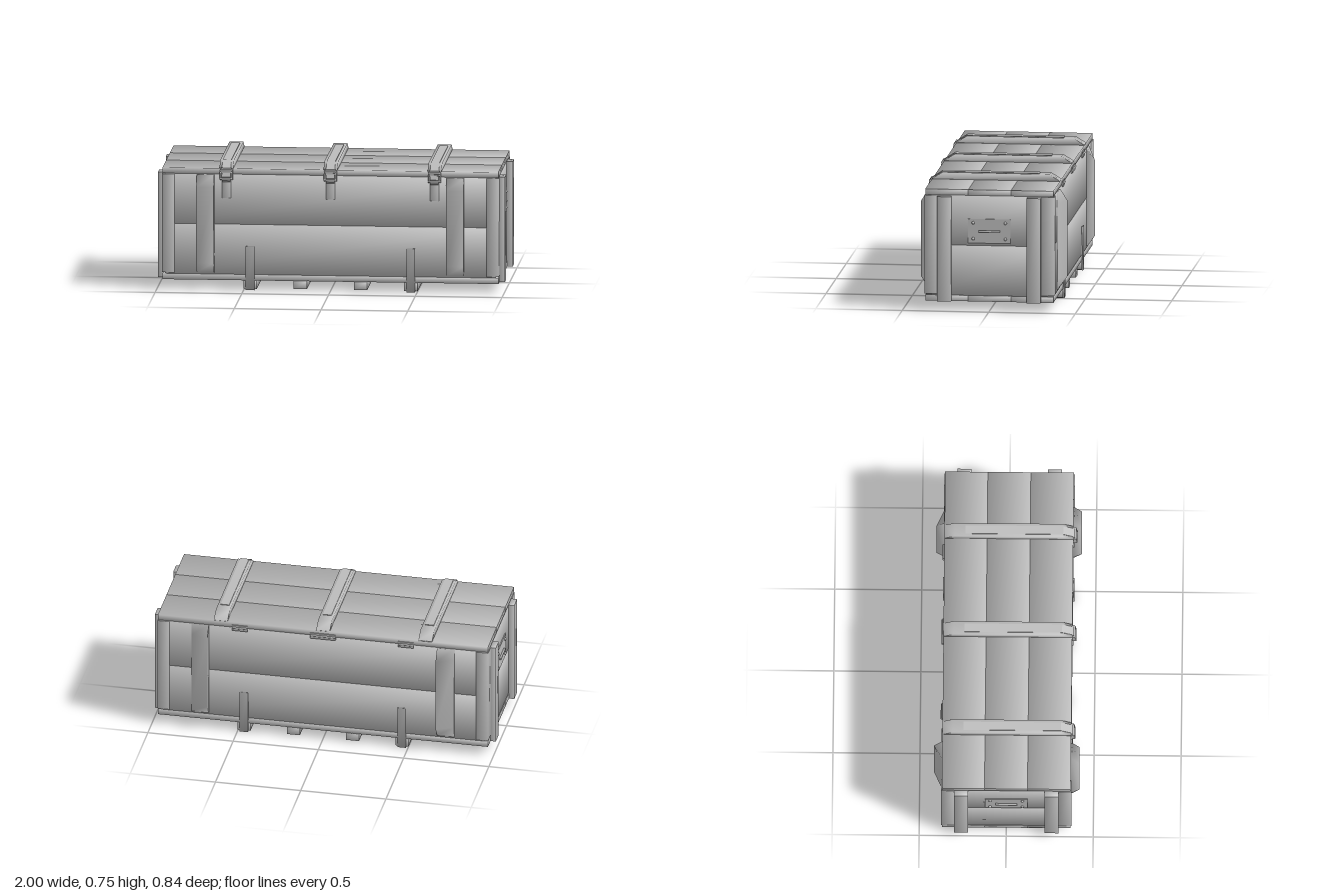
import * as THREE from 'three';
import { mergeVertices } from 'three/addons/utils/BufferGeometryUtils.js';

const grey = new THREE.MeshStandardMaterial({ color: 0xbcbcbc });
grey.name = 'plain grey';

function add(parent, name, geometry) {
  const mesh = new THREE.Mesh(geometry, grey);
  mesh.name = name;
  parent.add(mesh);
  return mesh;
}

// Box given by its limits on each axis
function box(parent, name, x0, x1, y0, y1, z0, z1) {
  const g = new THREE.BoxGeometry(x1 - x0, y1 - y0, z1 - z0);
  g.translate((x0 + x1) / 2, (y0 + y1) / 2, (z0 + z1) / 2);
  return add(parent, name, g);
}

// Board with normals softened across its edges; the length counts only on its end faces
function board(parent, name, x0, x1, y0, y1, z0, z1) {
  const mesh = box(parent, name, x0, x1, y0, y1, z0, z1);
  const size = [x1 - x0, y1 - y0, z1 - z0];
  const long = size.indexOf(Math.max(...size));
  const mid = new THREE.Vector3(x0 + x1, y0 + y1, z0 + z1).divideScalar(2);
  const p = mesh.geometry.attributes.position, n = mesh.geometry.attributes.normal;
  const v = new THREE.Vector3(), face = new THREE.Vector3();
  for (let i = 0; i < p.count; i++) {
    face.fromBufferAttribute(n, i);
    v.fromBufferAttribute(p, i).sub(mid);
    v.set(Math.sign(v.x), Math.sign(v.y), Math.sign(v.z));
    const onEnd = Math.abs(face.getComponent(long)) > 0.5;
    v.setComponent(long, v.getComponent(long) * (onEnd ? 2 : 0.2));
    v.normalize();
    n.setXYZ(i, v.x, v.y, v.z);
  }
  return mesh;
}

// Share normals over all faces that meet in a corner
function soften(geometry) {
  geometry.deleteAttribute('normal');
  geometry.deleteAttribute('uv');
  const g = mergeVertices(geometry);
  g.computeVertexNormals();
  return g;
}

// Outline of [z, y] points given a width along x
function profile(points, width) {
  const shape = new THREE.Shape(points.map(([z, y]) => new THREE.Vector2(z, y)));
  const g = new THREE.ExtrudeGeometry(shape, { depth: width, bevelEnabled: false });
  return g.translate(0, 0, -width / 2).rotateY(-Math.PI / 2);
}

export function createModel() {
  const crate = new THREE.Group();
  crate.name = 'crate';

  // Floor and lid, three planks each
  const cuts = [-0.37, -0.125, 0.122, 0.37];
  for (let i = 0; i < 3; i++) {
    board(crate, 'floorPlank', -0.968, 0.968, 0.056, 0.09, cuts[i], cuts[i + 1]);
    board(crate, 'lidPlank', -0.968, 0.968, 0.674, 0.707, cuts[i], cuts[i + 1]);
  }

  // Walls, two planks high
  for (const [y0, y1] of [[0.09, 0.382], [0.382, 0.673]]) {
    for (const s of [-1, 1]) {
      const z = [s * 0.335, s * 0.368].sort((a, b) => a - b);
      board(crate, s > 0 ? 'frontPlank' : 'backPlank', -0.95, 0.95, y0, y1, z[0], z[1]);
      const x = [s * 0.93, s * 0.965].sort((a, b) => a - b);
      board(crate, 'endPlank', x[0], x[1], y0, y1, -0.335, 0.335);
    }
  }

  for (const sx of [-1, 1]) {
    const span = (a, b) => [sx * a, sx * b].sort((p, q) => p - q);
    for (const sz of [-1, 1]) {
      // Corner posts and end battens
      const z = (a, b) => [sz * a, sz * b].sort((p, q) => p - q);
      board(crate, 'cornerPost', ...span(0.9, 0.97), 0.097, 0.671, ...z(0.3, 0.375));
      board(crate, 'endBatten', ...span(0.96, 1), 0.057, 0.668, ...z(0.22, 0.3));
    }

    // Chamfered battens on the front, wedge shaped ones on the back
    const outline = [[0.36, 0.1], [0.375, 0.1], [0.418, 0.162], [0.418, 0.602], [0.375, 0.67], [0.36, 0.67]];
    add(crate, 'frontBatten', soften(profile(outline, 0.1))).position.x = sx * 0.72;
    const wedge = profile(outline.map(([z, y]) => [-z, y]), 0.1);
    const p = wedge.attributes.position;
    for (let i = 0; i < p.count; i++) {
      if (p.getX(i) * sx > 0) p.setZ(i, Math.max(p.getZ(i), -0.372));
    }
    add(crate, 'backBatten', soften(wedge)).position.x = sx * 0.72;

    // Runners below the floor
    board(crate, 'innerRunner', ...span(0.135, 0.212), 0.01, 0.057, -0.37, 0.37);
    board(crate, 'outerRunner', ...span(0.425, 0.502), 0.007, 0.057, -0.37, 0.37);

    // Metal strap wrapped under each outer runner
    const strap = profile([
      [-0.377, 0], [0.377, 0], [0.377, 0.255], [0.368, 0.255],
      [0.368, 0.007], [-0.368, 0.007], [-0.368, 0.255], [-0.377, 0.255]
    ], 0.05);
    add(crate, 'runnerStrap', soften(strap)).position.x = sx * 0.463;

    // End plate with rivets and a handle bar
    const plate = new THREE.Group();
    plate.name = 'endPlate';
    crate.add(plate);
    box(plate, 'plate', ...span(0.962, 0.971), 0.397, 0.537, -0.123, 0.123);
    board(plate, 'handleBar', ...span(0.97, 0.982), 0.462, 0.472, -0.062, 0.062);
    for (const y of [0.422, 0.515]) {
      for (const z of [-0.093, 0.093]) {
        const rivet = add(plate, 'rivet', new THREE.SphereGeometry(0.009, 10, 8));
        rivet.position.set(sx * 0.971, y, z);
      }
    }
  }

  for (const x of [-0.6, 0, 0.6]) {
    // Lid slat with sloping ends and a belt along its top
    const slat = profile([
      [-0.37, 0.705], [0.37, 0.705], [0.37, 0.71], [0.31, 0.746], [-0.31, 0.746], [-0.37, 0.71]
    ], 0.08);
    add(crate, 'lidSlat', soften(slat)).position.x = x;
    const belt = profile([
      [-0.25, 0.745], [0.31, 0.745], [0.372, 0.707], [0.378, 0.709], [0.312, 0.75], [-0.25, 0.75]
    ], 0.05);
    add(crate, 'lidBelt', belt).position.x = x;

    // Latch: hanging plate, buckle frame and clasp
    const latch = new THREE.Group();
    latch.name = 'latch';
    latch.position.x = x;
    crate.add(latch);
    board(latch, 'latchPlate', -0.026, 0.026, 0.535, 0.655, 0.366, 0.376);
    box(latch, 'lidTab', -0.03, 0.03, 0.68, 0.712, 0.368, 0.38);
    for (const s of [-1, 1]) {
      const side = profile([[0.37, 0.64], [0.393, 0.645], [0.39, 0.68], [0.382, 0.704], [0.37, 0.704]], 0.008);
      add(latch, 'buckleSide', side).position.x = s * 0.033;
    }
    for (const [y, z] of [[0.651, 0.389], [0.696, 0.383]]) {
      const pin = add(latch, 'bucklePin', new THREE.CylinderGeometry(0.006, 0.006, 0.07, 10).rotateZ(Math.PI / 2));
      pin.position.set(0, y, z);
    }
    const clasp = profile([[0.372, 0.625], [0.388, 0.638], [0.394, 0.66], [0.386, 0.682], [0.38, 0.682], [0.384, 0.658]], 0.05);
    add(latch, 'clasp', clasp);
  }

  // Hinges along the back of the lid
  for (const [x, w] of [[-0.487, 0.09], [0, 0.15], [0.487, 0.09]]) {
    box(crate, 'hingePlate', x - w / 2, x + w / 2, 0.655, 0.69, -0.376, -0.365);
    const knuckle = add(crate, 'hingeKnuckle', new THREE.CylinderGeometry(0.006, 0.006, w, 10).rotateZ(Math.PI / 2));
    knuckle.position.set(x, 0.673, -0.375);
  }

  return crate;
}
